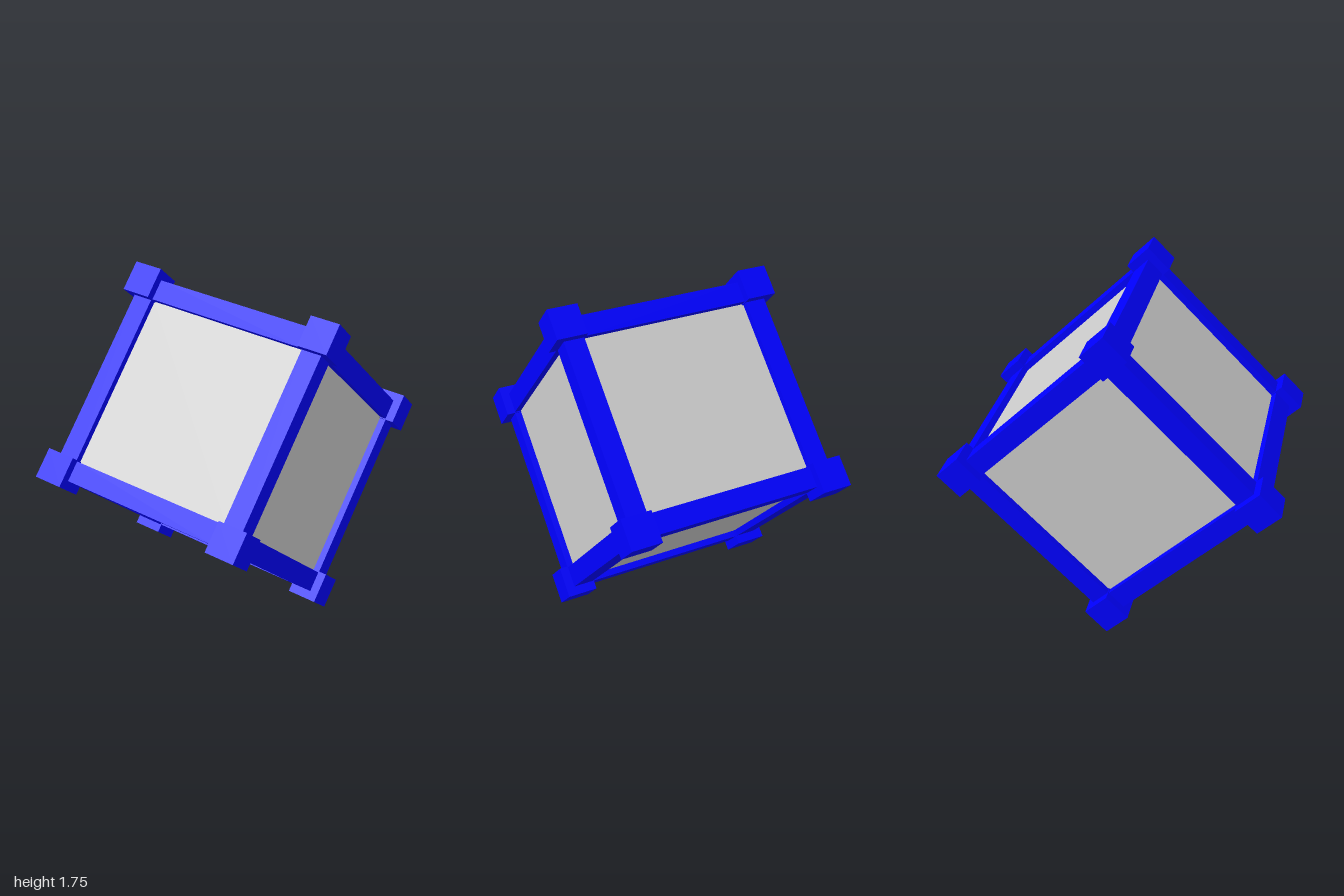
import * as THREE from 'three';

const HALF = 0.6185;   // half side over the corner blocks
const BLOCK = 0.162;   // corner block side
const BEAM = 0.11;     // edge beam side
const INSET = 0.046;   // beam face behind block face
const RECESS = 0.035;  // panel behind beam face

export function createModel() {
  const model = new THREE.Group();
  model.name = 'tiltedCrate';
  const blue = new THREE.MeshStandardMaterial({ color: 0x0000ff });
  const grey = new THREE.MeshStandardMaterial({ color: 0xcccccc });

  // Crate built square to its axes, then stood on one edge and turned
  const crate = new THREE.Group();
  crate.name = 'crate';
  crate.rotation.set(0, THREE.MathUtils.degToRad(14), Math.PI / 4, 'YXZ');
  crate.position.y = HALF * Math.SQRT2;
  model.add(crate);

  const addBox = (name, size, position, material) => {
    const mesh = new THREE.Mesh(new THREE.BoxGeometry(...size), material);
    mesh.name = name;
    mesh.position.set(...position);
    crate.add(mesh);
  };

  // Recessed panels on all six sides, as one solid core
  const core = 2 * (HALF - INSET - RECESS);
  addBox('panelCore', [core, core, core], [0, 0, 0], grey);

  const blockAt = HALF - BLOCK / 2;
  const beamAt = HALF - INSET - BEAM / 2;
  const beamLength = 2 * (HALF - BLOCK);
  for (const a of [-1, 1]) {
    for (const b of [-1, 1]) {
      // Corner blocks
      for (const c of [-1, 1]) {
        addBox('cornerBlock', [BLOCK, BLOCK, BLOCK], [a * blockAt, b * blockAt, c * blockAt], blue);
      }
      // Edge beams, one along each axis
      for (let axis = 0; axis < 3; axis++) {
        const size = [BEAM, BEAM, BEAM];
        const position = [0, 0, 0];
        size[axis] = beamLength;
        position[(axis + 1) % 3] = a * beamAt;
        position[(axis + 2) % 3] = b * beamAt;
        addBox('edgeBeam', size, position, blue);
      }
    }
  }
  return model;
}
